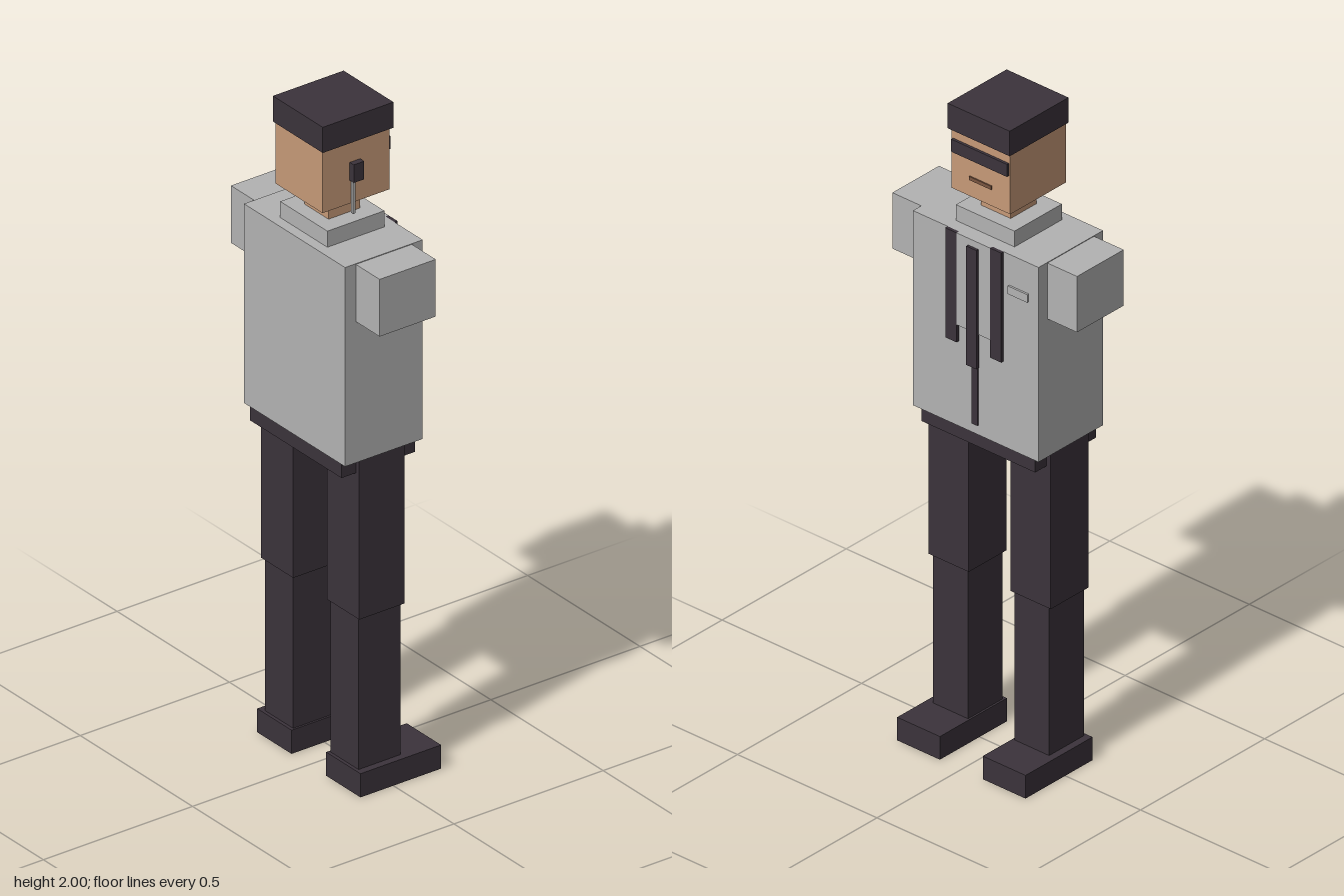
import * as THREE from 'three';

export function createModel() {
  const group = new THREE.Group();
  const mat = (name, color) => {
    const m = new THREE.MeshStandardMaterial({ color });
    m.name = name;
    return m;
  };
  const dark = mat('charcoal cloth', 0x3b333b);
  const grey = mat('grey cloth', 0xb3b3b3);
  const skin = mat('skin', 0xc79a78);
  const lip = mat('mouth brown', 0x7a5540);

  // Box given by its minimum and maximum on each axis
  const box = (name, material, [x0, x1], [y0, y1], [z0, z1]) => {
    const mesh = new THREE.Mesh(new THREE.BoxGeometry(x1 - x0, y1 - y0, z1 - z0), material);
    mesh.position.set((x0 + x1) / 2, (y0 + y1) / 2, (z0 + z1) / 2);
    mesh.name = name;
    group.add(mesh);
  };
  // Same, on both sides of the body
  const pair = (name, material, [x0, x1], y, z) => {
    box(name + 'Left', material, [x0, x1], y, z);
    box(name + 'Right', material, [-x1, -x0], y, z);
  };

  // Legs and shoes, toes towards -z
  pair('shoe', dark, [0.077, 0.23], [0, 0.072], [-0.16, 0.11]);
  pair('lowerLeg', dark, [0.083, 0.208], [0.072, 0.535], [-0.04, 0.1]);
  pair('upperLeg', dark, [0.075, 0.219], [0.535, 1.02], [-0.046, 0.106]);
  box('belt', dark, [-0.204, 0.204], [0.975, 1.02], [-0.092, 0.154]);

  // Torso and short sleeves
  box('torso', grey, [-0.225, 0.225], [1.02, 1.626], [-0.102, 0.158]);
  pair('sleeve', grey, [0.2, 0.331], [1.45, 1.624], [-0.066, 0.122]);
  box('collar', grey, [-0.105, 0.105], [1.626, 1.675], [-0.064, 0.127]);

  // Shirt front, lapels, tie, closure and pocket
  box('shirtFront', grey, [-0.06, 0.06], [1.34, 1.626], [-0.112, -0.102]);
  pair('lapel', dark, [0.06, 0.1], [1.285, 1.626], [-0.112, -0.102]);
  box('tie', dark, [-0.018, 0.018], [1.235, 1.605], [-0.12, -0.11]);
  box('jacketClosure', dark, [-0.01, 0.01], [1.05, 1.34], [-0.107, -0.102]);
  box('pocketFlap', grey, [-0.19, -0.12], [1.505, 1.53], [-0.108, -0.102]);

  // Head and cap
  box('neck', skin, [-0.053, 0.053], [1.675, 1.735], [-0.021, 0.084]);
  box('head', skin, [-0.105, 0.105], [1.735, 1.922], [-0.081, 0.143]);
  box('cap', dark, [-0.111, 0.111], [1.922, 2], [-0.09, 0.147]);
  box('glasses', dark, [-0.1, 0.1], [1.853, 1.892], [-0.089, -0.081]);
  box('mouth', lip, [-0.04, 0.04], [1.787, 1.798], [-0.085, -0.081]);

  // Earpiece with hanging cord
  box('earpiece', dark, [0.105, 0.123], [1.805, 1.86], [0.017, 0.052]);
  box('earpieceCord', grey, [0.112, 0.121], [1.71, 1.806], [0.044, 0.053]);

  return group;
}
